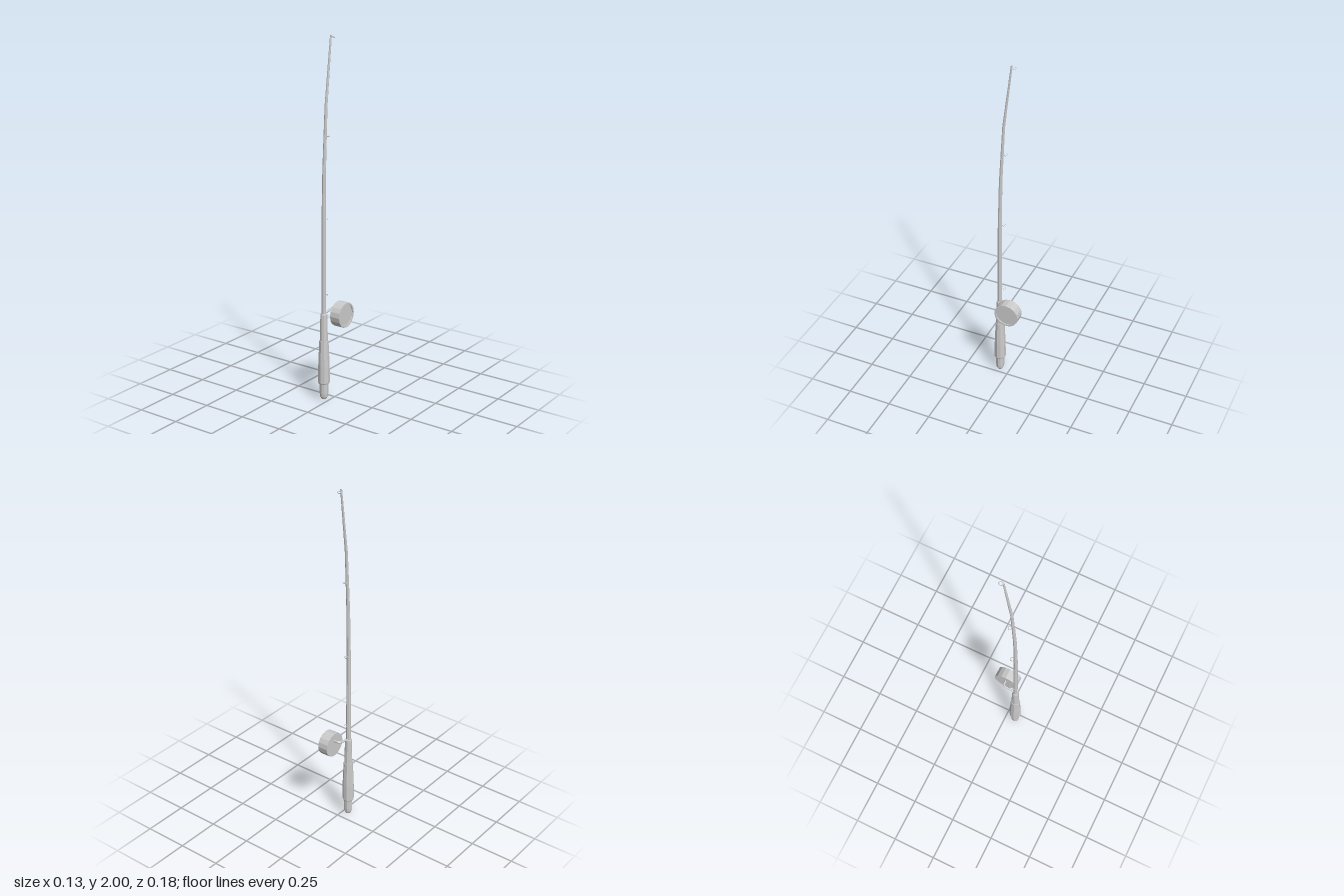
import * as THREE from 'three';

const ROD_X = -0.032, ROD_Z = 0.057;

// centre line of the blank: [height, z], straight at the grip and bending back at the tip
const BEND = [[0, ROD_Z], [0.6, ROD_Z], [1.0, 0.056], [1.3, 0.05], [1.64, 0.032], [2, -0.012]];

function bendZ(y) {
  for (let i = 1; i < BEND.length; i++) {
    const [y0, z0] = BEND[i - 1], [y1, z1] = BEND[i];
    if (y <= y1) return z0 + (z1 - z0) * (y - y0) / (y1 - y0);
  }
  return BEND[BEND.length - 1][1];
}

export function createModel() {
  const group = new THREE.Group();
  const material = new THREE.MeshStandardMaterial({ color: 0xcccccc, flatShading: true });

  const add = (name, geometry, x = 0, y = 0, z = 0) => {
    const mesh = new THREE.Mesh(geometry, material);
    mesh.name = name;
    mesh.position.set(x, y, z);
    group.add(mesh);
    return mesh;
  };
  const lathe = (points, sides) =>
    new THREE.LatheGeometry(points.map(([r, y]) => new THREE.Vector2(r, y)), sides);

  // rounded butt, thick grip and slimmer fore grip
  add('butt', lathe([[0, 0], [0.014, 0.003], [0.022, 0.018], [0.024, 0.035], [0.024, 0.1]], 9), ROD_X, 0, ROD_Z);
  add('grip', lathe([[0, 0.095], [0.03, 0.095], [0.033, 0.102], [0.032, 0.2], [0.026, 0.345], [0, 0.345]], 9), ROD_X, 0, ROD_Z);
  add('foreGrip', lathe([[0.023, 0.34], [0.019, 0.495], [0.017, 0.502], [0, 0.502]], 9), ROD_X, 0, ROD_Z);

  // tapering blank, sheared along its bend
  const blank = lathe([[0.0135, 0.49], [0.0132, 0.6], [0.0118, 1.0], [0.0098, 1.3],
    [0.0078, 1.64], [0.005, 2], [0, 2]], 8);
  const pos = blank.attributes.position;
  for (let i = 0; i < pos.count; i++) pos.setZ(i, pos.getZ(i) + bendZ(pos.getY(i)));
  add('blank', blank, ROD_X);

  // five-sided line guides behind the blank
  for (const [y, rodRadius] of [[0.6, 0.013], [1.03, 0.0115], [1.475, 0.009], [1.988, 0.005]]) {
    const ring = new THREE.TorusGeometry(0.0115, 0.002, 4, 5);
    ring.rotateZ(Math.PI / 2).rotateX(-Math.PI / 2);
    add('lineGuide', ring, ROD_X, y, bendZ(y) - rodRadius - 0.0095);
  }

  // bent arm holding the reel
  const arm = new THREE.CurvePath();
  const corners = [[ROD_X, 0.5, 0.05], [-0.029, 0.513, -0.014], [-0.02, 0.514, -0.022], [0.01, 0.514, -0.022]]
    .map((p) => new THREE.Vector3(...p));
  for (let i = 1; i < corners.length; i++) arm.add(new THREE.LineCurve3(corners[i - 1], corners[i]));
  add('reelArm', new THREE.TubeGeometry(arm, 16, 0.0065, 6));

  // drum reel with a shallow dished outer face
  const reel = lathe([[0, 0], [0.07, 0], [0.07, 0.06], [0.06, 0.06], [0.06, 0.054], [0, 0.054]], 16);
  reel.rotateZ(-Math.PI / 2);
  add('reel', reel, 0.003, 0.488, -0.022);

  return group;
}
